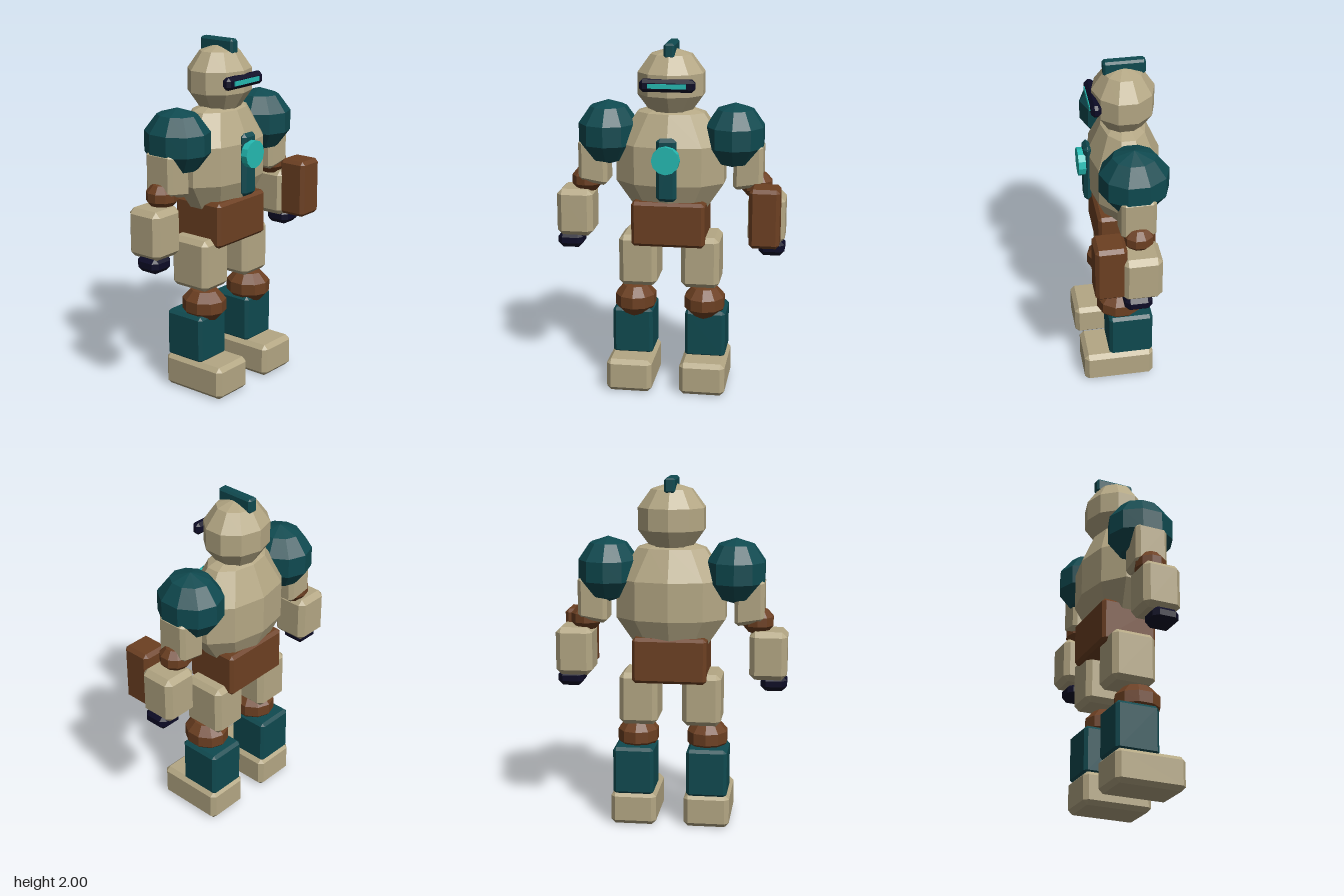
import * as THREE from 'three';
import { ConvexGeometry } from 'three/addons/geometries/ConvexGeometry.js';

function material(name, color) {
  const m = new THREE.MeshStandardMaterial({ color });
  m.name = name;
  return m;
}

export function createModel() {
  const robot = new THREE.Group();
  robot.name = 'robot';
  const sand = material('sand', 0xb4a784);
  const teal = material('teal', 0x0f4a50);
  const brown = material('brown', 0x6d4022);
  const navy = material('navy', 0x0c0b26);
  const cyan = material('cyan', 0x24bab2);

  function add(name, geometry, mat, position) {
    const mesh = new THREE.Mesh(geometry, mat);
    mesh.name = name;
    mesh.position.set(...position);
    robot.add(mesh);
    return mesh;
  }

  // Box with chamfered edges, given by its x, y and z ranges
  function block(name, mat, [x0, x1], [y0, y1], [z0, z1], bevel, shear = 0) {
    const half = [(x1 - x0) / 2, (y1 - y0) / 2, (z1 - z0) / 2];
    const points = [];
    for (const sx of [-1, 1]) for (const sy of [-1, 1]) for (const sz of [-1, 1]) {
      for (let axis = 0; axis < 3; axis++) {
        const p = [sx, sy, sz].map((s, i) => s * (half[i] - (i === axis ? 0 : bevel)));
        points.push(new THREE.Vector3(p[0], p[1] + p[0] * shear, p[2]));
      }
    }
    return add(name, new ConvexGeometry(points), mat, [(x0 + x1) / 2, (y0 + y1) / 2, (z0 + z1) / 2]);
  }

  // Faceted ball with ten sides and five bands, a corner facing front; sized by half extents
  function ball(name, mat, position, hx, hy, hz) {
    const ring = Math.sin(Math.PI * 0.4);
    const geometry = new THREE.SphereGeometry(1, 10, 5)
      .rotateY(Math.PI / 2)
      .scale(hx / ring / ring, hy, hz / ring)
      .toNonIndexed();
    geometry.computeVertexNormals();
    return add(name, geometry, mat, position);
  }

  // Head
  ball('head', sand, [0, 1.77, -0.037], 0.185, 0.2, 0.172);
  block('crest', teal, [-0.03, 0.03], [1.915, 2], [-0.157, 0.073], 0.012);
  block('visor', navy, [-0.155, 0.155], [1.742, 1.812], [0.1, 0.155], 0.018);
  add('visorSlit', new THREE.BoxGeometry(0.212, 0.026, 0.008), cyan, [0, 1.777, 0.156]);

  // Body
  ball('torso', sand, [0, 1.32, -0.037], 0.308, 0.354, 0.202);
  block('chestPlate', teal, [-0.057, 0.057], [1.13, 1.49], [0.145, 0.187], 0.02);
  const lamp = new THREE.CylinderGeometry(0.079, 0.079, 0.04, 12).rotateX(Math.PI / 2).toNonIndexed();
  lamp.computeVertexNormals();
  add('chestLamp', lamp, cyan, [0, 1.373, 0.198]);
  block('pelvis', brown, [-0.21, 0.21], [0.85, 1.11], [-0.195, 0.132], 0.018);

  // Limbs, mirrored
  for (const [side, s] of [['left', 1], ['right', -1]]) {
    const span = (a, b) => (s > 0 ? [a, b] : [-b, -a]);

    ball(side + 'Shoulder', teal, [s * 0.362, 1.478, -0.037], 0.162, 0.187, 0.19);
    block(side + 'UpperArm', sand, span(0.36, 0.527), [1.19, 1.43], [-0.135, 0.055], 0.022, s * 0.17);
    ball(side + 'Elbow', brown, [s * 0.49, 1.2, -0.04], 0.085, 0.08, 0.087);
    block(side + 'Forearm', sand, span(0.447, 0.657), [0.875, 1.15], [-0.15, 0.067], 0.03);
    block(side + 'Hand', navy, span(0.51, 0.657), [0.8, 0.89], [-0.097, 0.055], 0.028);

    block(side + 'Thigh', sand, span(0.07, 0.29), [0.6, 0.9], [-0.165, 0.095], 0.028);
    ball(side + 'Knee', brown, [s * 0.202, 0.505, 0.013], 0.113, 0.106, 0.132);
    block(side + 'Shin', teal, span(0.095, 0.328), [0.18, 0.46], [-0.165, 0.09], 0.018);
    block(side + 'Foot', sand, span(0.08, 0.342), [0, 0.192], [-0.17, 0.24], 0.025);
  }

  // Gauntlet pack on the left forearm
  block('forearmPack', brown, [0.465, 0.635], [0.888, 1.225], [0.04, 0.213], 0.02);

  return robot;
}
